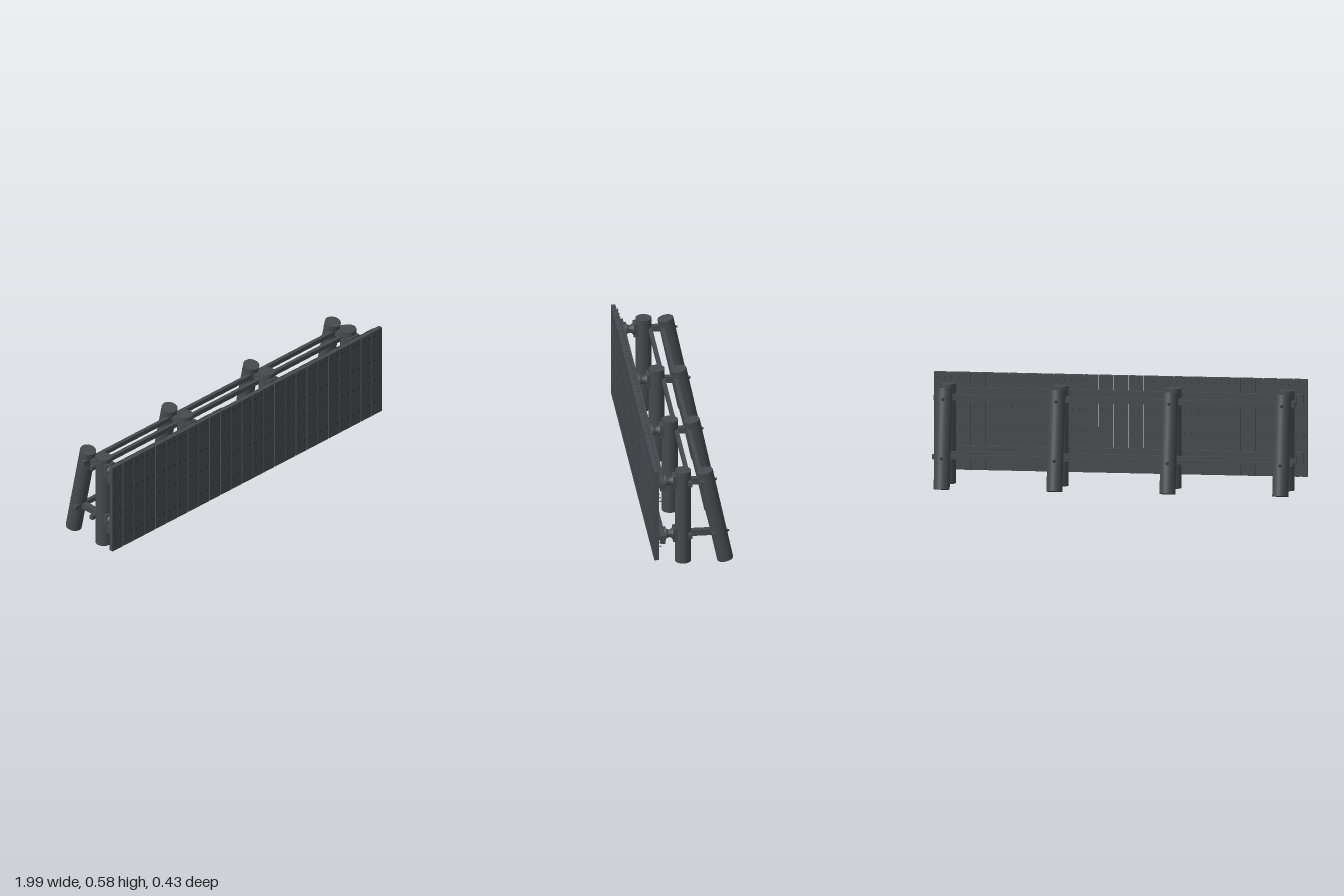
import * as THREE from 'three';

export function createModel() {
  const model = new THREE.Group();
  const timber = new THREE.MeshStandardMaterial({ color: 0x464a4e });
  timber.name = 'dark timber';
  const iron = new THREE.MeshStandardMaterial({ color: 0x34383b });
  iron.name = 'dark iron';

  const add = (name, geometry, material, x, y, z, parent = model) => {
    const mesh = new THREE.Mesh(geometry, material);
    mesh.name = name;
    mesh.position.set(x, y, z);
    parent.add(mesh);
    return mesh;
  };
  const box = (name, w, h, d, x, y, z, parent) =>
    add(name, new THREE.BoxGeometry(w, h, d), timber, x, y, z, parent);
  // Cylinder lying along z
  const rod = (r, length, sides) => new THREE.CylinderGeometry(r, r, length, sides).rotateX(Math.PI / 2);

  // Front planks with rows of through bolts
  const facing = new THREE.Group();
  facing.name = 'plankFacing';
  model.add(facing);
  const headGeo = rod(0.007, 0.003, 10);
  const nutGeo = rod(0.004, 0.005, 6);
  const shaftGeo = rod(0.0015, 0.034, 6);
  for (let i = 0; i < 25; i++) {
    const x = -0.96 + i * 0.08;
    box('plank', 0.0745, 0.52, 0.024, x, 0.325, 0.204, facing);
    for (const y of [0.558, 0.405, 0.284, 0.139]) {
      for (const dx of [-0.021, 0.021]) {
        add('boltHead', headGeo, iron, x + dx, y, 0.2155, facing);
        add('boltShaft', shaftGeo, iron, x + dx, y, 0.199, facing);
        add('boltNut', nutGeo, iron, x + dx, y, 0.18, facing);
      }
    }
  }

  // Thin backing strips behind the joints, cut short near the middle
  for (let i = 1; i < 25; i++) {
    const top = { 11: 0.2, 12: 0.2, 13: 0.2, 14: 0.31 }[i] ?? 0.585;
    box('backingStrip', 0.077, top - 0.065, 0.002, -1 + i * 0.08, (top + 0.065) / 2, 0.188, facing);
  }

  // Long horizontal rails
  const rails = [
    ['fenderRail', 1.96, 0.048, 0.026, 0.484, 0.168],
    ['fenderRail', 1.96, 0.048, 0.026, 0.174, 0.168],
    ['frontPostRail', 1.93, 0.025, 0.02, 0.482, 0.02],
    ['frontPostRail', 1.93, 0.025, 0.02, 0.175, 0.02],
    ['rearPostRail', 1.93, 0.025, 0.02, 0.482, -0.045],
    ['rearPostRail', 1.93, 0.025, 0.02, 0.175, -0.107],
  ];
  for (const [name, w, h, d, y, z] of rails) box(name, w, h, d, 0, y, z);

  // Waisted fender, its axis along z
  const profile = [[0, 0.1], [0.033, 0.1], [0.033, 0.108], [0.024, 0.116], [0.02, 0.126],
    [0.023, 0.136], [0.03, 0.147], [0, 0.147]].map(([r, z]) => new THREE.Vector2(r, z));
  const fenderGeo = new THREE.LatheGeometry(profile, 24).rotateX(Math.PI / 2);
  const flangeGeo = rod(0.0385, 0.009, 24);
  const frontPostGeo = new THREE.CylinderGeometry(0.043, 0.043, 0.533, 28);
  const rearPostGeo = new THREE.CylinderGeometry(0.043, 0.043, 0.535, 28);
  const tieBoltGeo = rod(0.006, 0.02, 6);
  const washerGeo = rod(0.009, 0.004, 10);

  // Four frames: upright pile, raking pile, ties and fenders
  for (const x of [-0.905, -0.302, 0.302, 0.905]) {
    const frame = new THREE.Group();
    frame.name = 'pileFrame';
    frame.position.x = x;
    model.add(frame);
    add('frontPost', frontPostGeo, timber, 0, 0.2785, 0.053, frame);
    add('rearPost', rearPostGeo, timber, 0, 0.273, -0.1175, frame).rotation.x = Math.atan2(0.109, 0.524);

    box('upperTie', 0.03, 0.031, 0.08, 0, 0.482, -0.005, frame);
    box('lowerTie', 0.03, 0.033, 0.135, 0, 0.175, -0.05, frame);
    for (const [y, z] of [[0.482, -0.117], [0.175, -0.183]]) {
      add('tieBolt', tieBoltGeo, iron, 0, y, z, frame);
      add('tieWasher', washerGeo, iron, 0, y, z, frame);
    }
    for (const y of [0.483, 0.174]) {
      box('fenderSaddle', 0.06, 0.074, 0.026, 0, y, 0.095, frame);
      add('fender', fenderGeo, timber, 0, y, 0, frame).scale.y = 1;
      add('fenderFlange', flangeGeo, timber, 0, y, 0.151, frame);
    }
  }
  // Turn the lathe the right way round if its axis points backwards
  return model;
}
